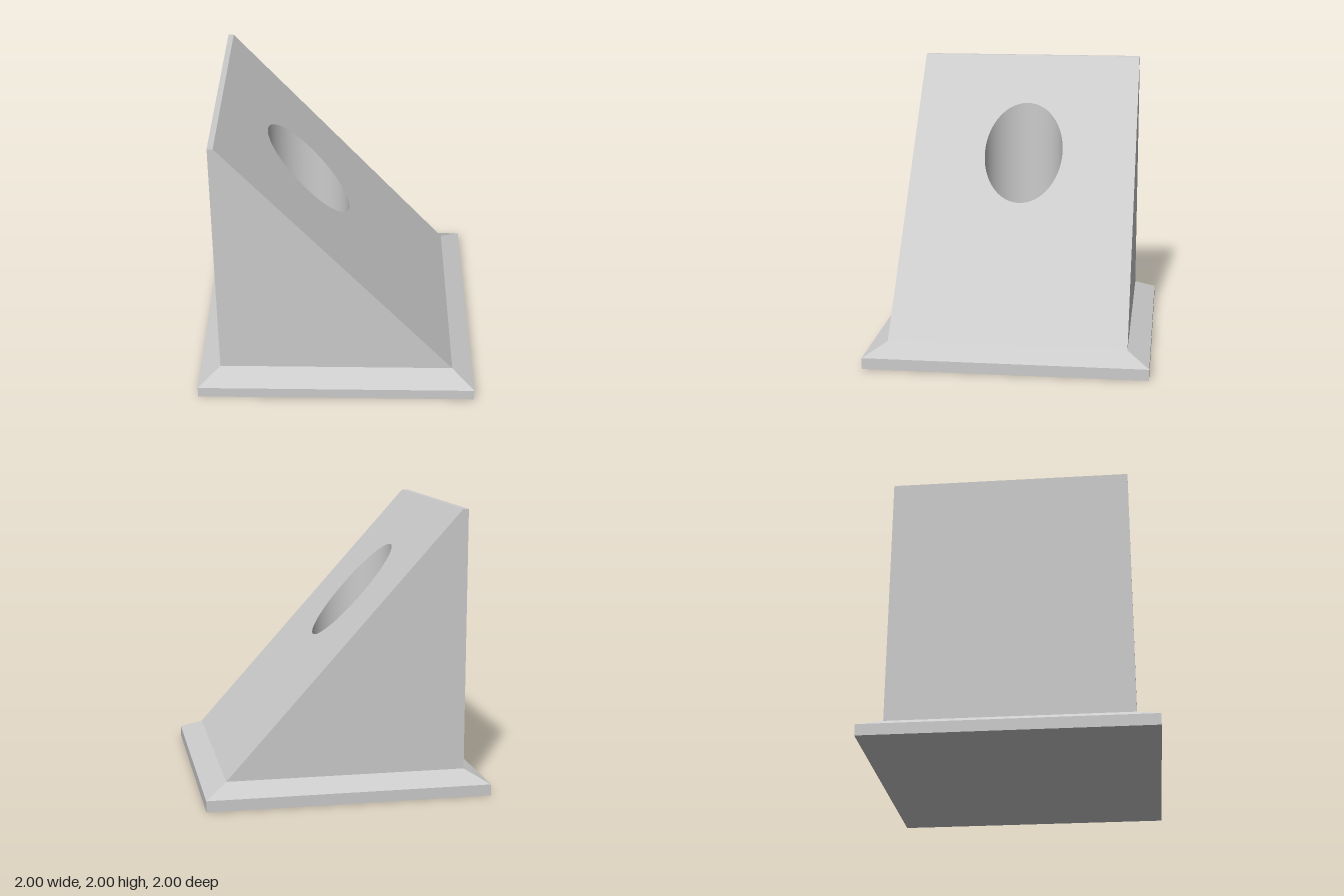
import * as THREE from 'three';

const H = 0.845;                       // half width of the wedge
const BASE_TOP = 0.16;
const HOLE = { x: -0.21, r: 0.295, floor: 0.24, fillet: 0.07 };
const CREST = -0.805;                  // x where the slope meets the narrow top
const slopeY = (x) => 2 - (x - CREST) * (2 - BASE_TOP) / (H - CREST);

export function createModel() {
  const group = new THREE.Group();
  const flat = new THREE.MeshStandardMaterial({ color: 0xcccccc, flatShading: true });
  const smooth = new THREE.MeshStandardMaterial({ color: 0xcccccc });
  const add = (name, geometry, material = flat) => {
    const mesh = new THREE.Mesh(geometry, material);
    mesh.name = name;
    group.add(mesh);
    return mesh;
  };

  // Square plinth with a bevelled upper edge
  const d = Math.SQRT2;
  const profile = [[0, 0], [d, 0], [d, 0.08], [H * d, BASE_TOP]].map(([x, y]) => new THREE.Vector2(x, y));
  add('base', new THREE.LatheGeometry(profile, 4, Math.PI / 4));

  // Sloping face, pierced by the round pocket
  const face = new THREE.Shape([[CREST, -H], [H, -H], [H, H], [CREST, H]].map(([x, y]) => new THREE.Vector2(x, y)));
  face.holes.push(new THREE.Path().absarc(HOLE.x, 0, HOLE.r, 0, Math.PI * 2, true));
  const slope = new THREE.ShapeGeometry(face, 32).rotateX(-Math.PI / 2);
  const sp = slope.attributes.position;
  for (let i = 0; i < sp.count; i++) sp.setY(i, slopeY(sp.getX(i)));
  slope.computeVertexNormals();
  add('slopingFace', slope);

  // Front and back cheeks of the wedge
  const cheek = new THREE.Shape([[-H, BASE_TOP], [H, BASE_TOP], [CREST, 2], [-H, 2]].map(([x, y]) => new THREE.Vector2(x, y)));
  add('frontCheek', new THREE.ShapeGeometry(cheek).translate(0, 0, H));
  const back = new THREE.MeshStandardMaterial({ color: 0xcccccc, flatShading: true, side: THREE.DoubleSide });
  add('backCheek', new THREE.ShapeGeometry(cheek).translate(0, 0, -H), back);

  // Upright wall and narrow crest
  add('uprightWall', new THREE.PlaneGeometry(2 * H, 2 - BASE_TOP)
    .rotateY(-Math.PI / 2).translate(-H, (2 + BASE_TOP) / 2, 0));
  add('crest', new THREE.PlaneGeometry(CREST + H, 2 * H)
    .rotateX(-Math.PI / 2).translate((CREST - H) / 2, 2, 0));

  // Vertical pocket with a filleted floor, its rim trimmed to the slope
  const { r, floor, fillet } = HOLE;
  const path = [new THREE.Vector2(r, 1)];
  for (let i = 0; i <= 8; i++) {
    const a = i / 8 * Math.PI / 2;
    path.push(new THREE.Vector2(r - fillet + fillet * Math.cos(a), floor + fillet - fillet * Math.sin(a)));
  }
  path.push(new THREE.Vector2(0, floor));
  const pocket = new THREE.LatheGeometry(path, 64).translate(HOLE.x, 0, 0);
  const pp = pocket.attributes.position;
  for (let i = 0; i < pp.count; i += path.length) pp.setY(i, slopeY(pp.getX(i)));
  add('pocket', pocket, smooth);

  return group;
}
